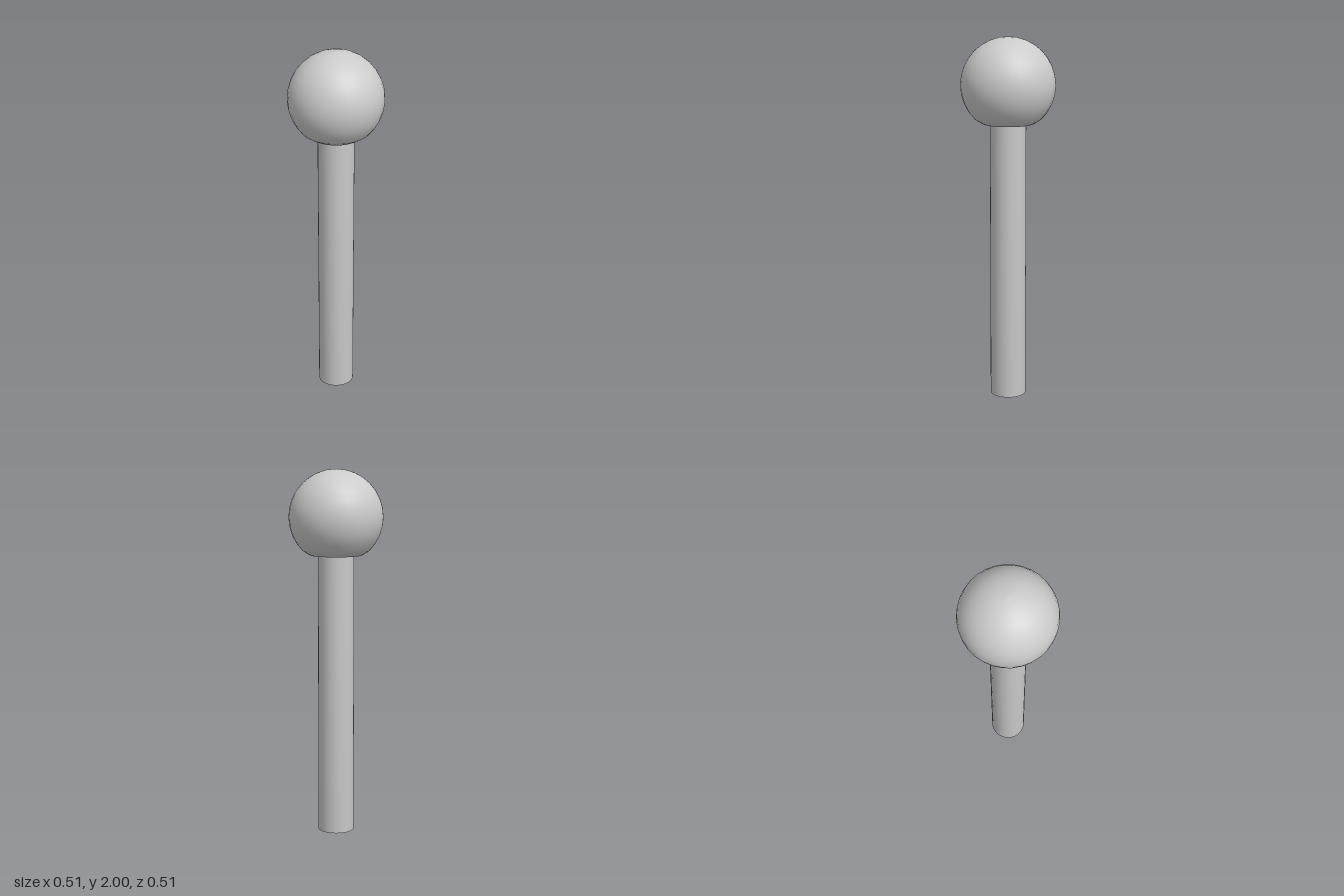
import * as THREE from 'three';

const R = 0.257, CENTER = 2 - R, STEP = Math.PI / 16;
const SHAFT = R * Math.sin(2 * STEP), COLLAR = R * Math.sin(3 * STEP), NECK_Y = 1.537;

export function createModel() {
  const group = new THREE.Group();

  // One continuous smooth profile: bottom cap, shaft, flat underside of the ball
  const profile = [
    new THREE.Vector2(0, 0),
    new THREE.Vector2(SHAFT, 0),
    new THREE.Vector2(SHAFT, NECK_Y),
    new THREE.Vector2(COLLAR, NECK_Y),
  ];

  // Ball, ring by ring up to the pole
  for (let i = 4; i <= 16; i++) {
    const a = i * STEP;
    profile.push(new THREE.Vector2(i === 16 ? 0 : R * Math.sin(a), CENTER - R * Math.cos(a)));
  }

  const pin = new THREE.Mesh(
    new THREE.LatheGeometry(profile, 32),
    new THREE.MeshStandardMaterial({ color: 0xcccccc })
  );
  pin.name = 'ballHeadedPin';
  group.add(pin);
  return group;
}
